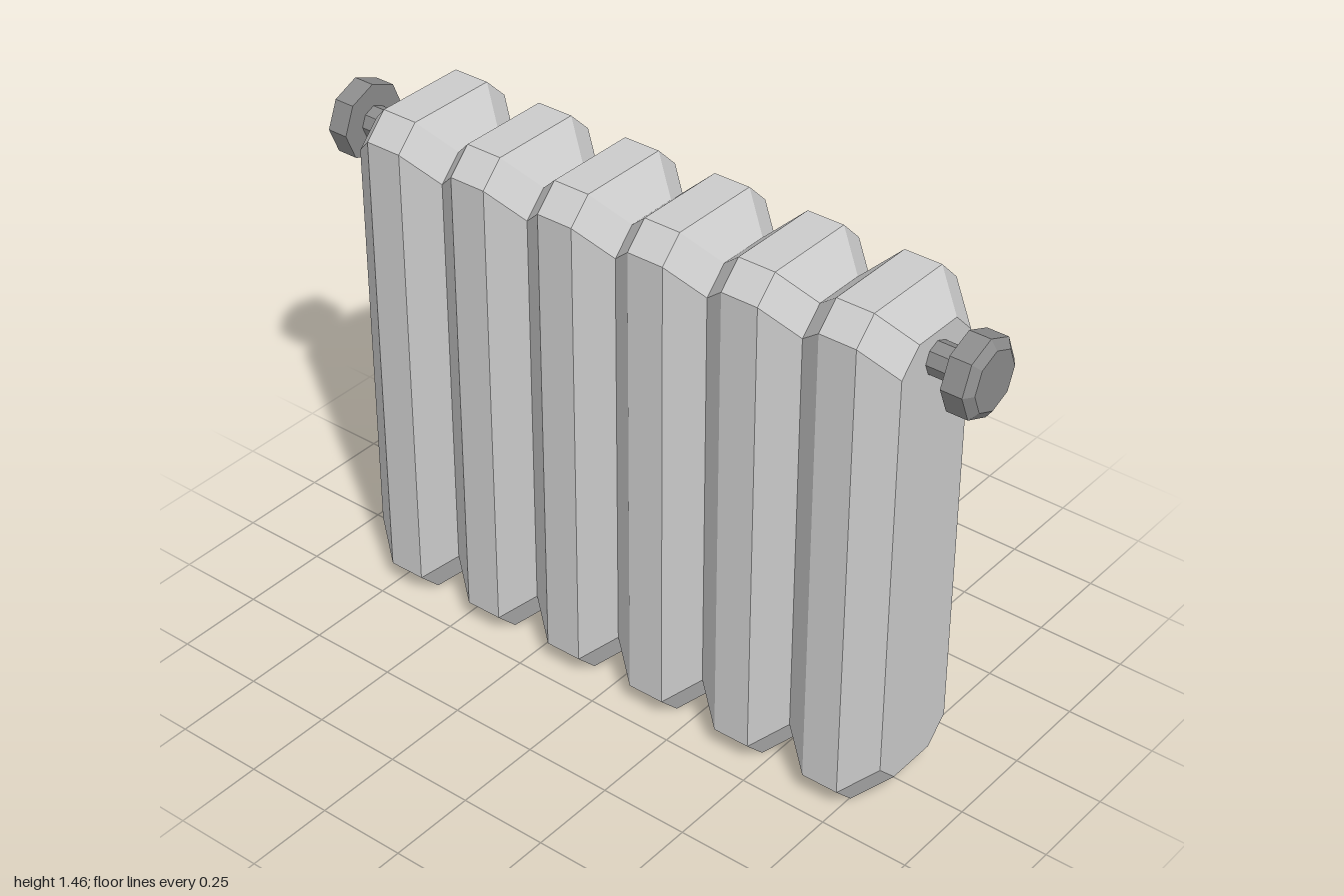
import * as THREE from 'three';

const SECTIONS = 6, PITCH = 0.28, BEVEL = 0.065;
const PIPE_Y = 1.304;

// Chamfered rectangle in the y-z plane at a given x
function ring(x, bottom, top, halfDepth) {
  const a = halfDepth - BEVEL, hi = top - BEVEL, lo = bottom + BEVEL;
  return [
    [top, -a], [top, a], [hi, halfDepth], [lo, halfDepth],
    [bottom, a], [bottom, -a], [lo, -halfDepth], [hi, -halfDepth],
  ].map(([y, z]) => new THREE.Vector3(x, y, z));
}

// Skin of flat faces through rings ordered along +x, with optional end caps
function loft(rings, capStart, capEnd) {
  const points = [], n = rings[0].length;
  for (let s = 0; s < rings.length - 1; s++) {
    const a = rings[s], b = rings[s + 1];
    for (let i = 0; i < n; i++) {
      const j = (i + 1) % n;
      points.push(a[i], a[j], b[j], a[i], b[j], b[i]);
    }
  }
  const first = rings[0], last = rings[rings.length - 1];
  for (let i = 1; i < n - 1; i++) {
    if (capStart) points.push(first[0], first[i + 1], first[i]);
    if (capEnd) points.push(last[0], last[i], last[i + 1]);
  }
  const geometry = new THREE.BufferGeometry().setFromPoints(points);
  geometry.computeVertexNormals();
  return geometry;
}

export function createModel() {
  const model = new THREE.Group();
  model.name = 'radiator';
  const bodyMaterial = new THREE.MeshStandardMaterial({ color: 0xcccccc, flatShading: true });
  const fittingMaterial = new THREE.MeshStandardMaterial({ color: 0x8c8c8c, flatShading: true });

  // Row of bevelled heating sections, joined at their narrow seams
  for (let i = 0; i < SECTIONS; i++) {
    const rings = [
      ring(-PITCH / 2, 0.08, 1.375, 0.14),
      ring(-0.053, 0, 1.455, 0.2),
      ring(0.053, 0, 1.455, 0.2),
      ring(PITCH / 2, 0.08, 1.375, 0.14),
    ];
    const section = new THREE.Mesh(loft(rings, i === 0, i === SECTIONS - 1), bodyMaterial);
    section.name = `section${i + 1}`;
    section.position.x = (i - (SECTIONS - 1) / 2) * PITCH;
    model.add(section);
  }

  // Eight-sided pipe stub and valve knob at each end
  const pipeGeometry = new THREE.CylinderGeometry(0.045, 0.045, 0.1, 8);
  const knobProfile = [[0, 0], [0.107, 0], [0.107, 0.06], [0.082, 0.078], [0, 0.078]]
    .map(([r, y]) => new THREE.Vector2(r, y));
  const knobGeometry = new THREE.LatheGeometry(knobProfile, 8);
  for (const side of [1, -1]) {
    const valve = new THREE.Group();
    valve.name = side > 0 ? 'leftValve' : 'rightValve';
    const pipe = new THREE.Mesh(pipeGeometry, fittingMaterial);
    pipe.name = 'pipe';
    pipe.position.y = 0.04;
    const knob = new THREE.Mesh(knobGeometry, fittingMaterial);
    knob.name = 'knob';
    knob.position.y = 0.082;
    valve.add(pipe, knob);
    valve.position.set(side * 0.84, PIPE_Y, 0);
    valve.rotation.z = -side * Math.PI / 2;
    model.add(valve);
  }
  return model;
}
